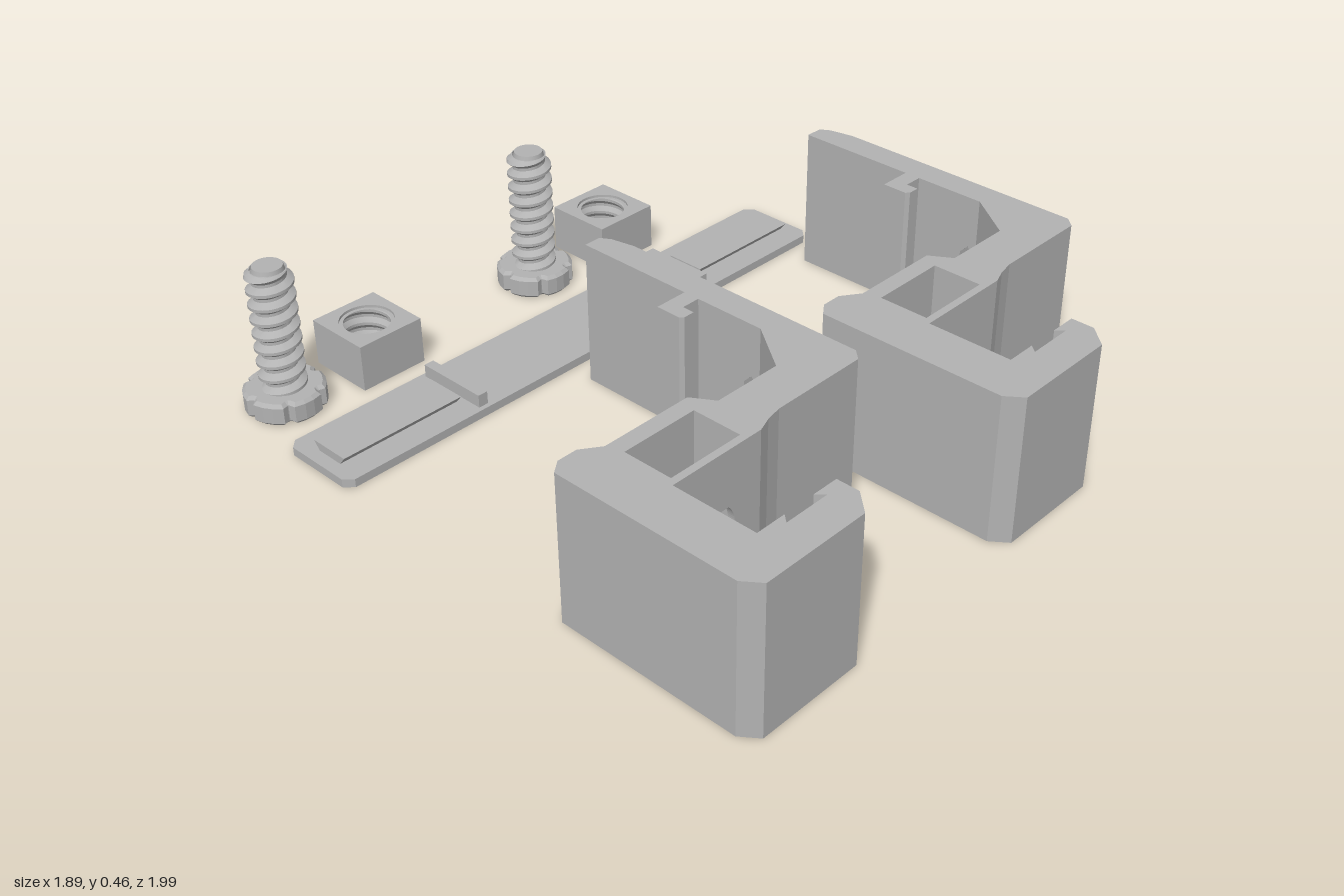
import * as THREE from 'three';
import { toCreasedNormals } from 'three/addons/utils/BufferGeometryUtils.js';

const grey = new THREE.MeshStandardMaterial({ color: 0xb2b2b2, side: THREE.DoubleSide });
grey.name = 'plain grey plastic';

const H = 0.447; // bracket height

function mesh(name, geometry, parent) {
  const m = new THREE.Mesh(geometry, grey);
  m.name = name;
  parent.add(m);
  return m;
}

const shapeOf = (pts) => new THREE.Shape(pts.map(([a, b]) => new THREE.Vector2(a, b)));

// Plan outline given as [x, z], raised from y0 to y1
function prism(pts, y0, y1) {
  const g = new THREE.ExtrudeGeometry(shapeOf(pts.map(([x, z]) => [x, -z])), { depth: y1 - y0, bevelEnabled: false });
  return g.rotateX(-Math.PI / 2).translate(0, y0, 0);
}

function block(x0, x1, y0, y1, z0, z1) {
  return new THREE.BoxGeometry(x1 - x0, y1 - y0, z1 - z0)
    .translate((x0 + x1) / 2, (y0 + y1) / 2, (z0 + z1) / 2);
}

// Wall facing z with a teardrop bolt hole
function teardropWall(x0, x1, z0, z1) {
  const s = shapeOf([[x0, 0], [x1, 0], [x1, H], [x0, H]]);
  const cx = (x0 + x1) / 2, cy = 0.225, r = 0.077;
  const hole = new THREE.Path();
  hole.moveTo(cx, cy + r * Math.SQRT2);
  hole.absarc(cx, cy, r, Math.PI * 0.75, Math.PI * 2.25, false);
  hole.closePath();
  s.holes.push(hole);
  return new THREE.ExtrudeGeometry(s, { depth: z1 - z0, bevelEnabled: false, curveSegments: 24 }).translate(0, 0, z0);
}

// Helical thread: ridge profile swept round the axis, cut flat at y0 and y1
function thread(root, crest, y0, y1, limit = () => 1) {
  const pitch = 0.046, n = 32, turns = Math.ceil((y1 - y0) / pitch) + 1;
  const ridge = [[0, root], [0.2, root], [0.5, crest], [0.7, crest]];
  const pos = [], idx = [];
  let rows = 0;
  for (let k = -1; k < turns; k++) {
    for (const [t, r] of ridge) {
      for (let i = 0; i <= n; i++) {
        const a = (i / n) * Math.PI * 2;
        const y = THREE.MathUtils.clamp(y0 + (k + t + i / n) * pitch, y0, y1);
        const rr = Math.min(r, limit(y));
        pos.push(rr * Math.cos(a), y, -rr * Math.sin(a));
      }
      rows++;
    }
  }
  for (let j = 0; j < rows - 1; j++) {
    for (let i = 0; i < n; i++) {
      const a = j * (n + 1) + i, b = a + 1, c = a + n + 1, d = c + 1;
      if (crest > root) idx.push(a, b, d, a, d, c);
      else idx.push(a, d, b, a, c, d);
    }
  }
  const g = new THREE.BufferGeometry();
  g.setAttribute('position', new THREE.Float32BufferAttribute(pos, 3));
  g.setIndex(idx);
  return toCreasedNormals(g, 0.5);
}

function makeBracket() {
  const g = new THREE.Group();
  g.name = 'clampBracket';
  // Jaw with dovetail groove
  mesh('jaw', prism([
    [-0.75, 0.39], [-0.765, 0.39], [-0.82, 0.352], [-0.88, 0.352], [-0.917, 0.38], [-0.917, 0.945],
    [-0.88, 0.995], [-0.55, 0.995], [-0.495, 0.935], [-0.495, 0.867], [-0.575, 0.867], [-0.555, 0.89],
    [-0.695, 0.89], [-0.675, 0.867], [-0.767, 0.867], [-0.767, 0.612], [-0.75, 0.612]], 0, H), g);
  // Nut pocket, open at the top
  mesh('pocketBackWall', teardropWall(-0.75, -0.515, 0.39, 0.44), g);
  mesh('pocketFrontWall', teardropWall(-0.75, -0.515, 0.59, 0.612), g);
  mesh('pocketFloor', block(-0.75, -0.515, 0, 0.108, 0.44, 0.59), g);
  // Crossbar bending into the long arm
  mesh('elbow', prism([
    [-0.515, 0.39], [-0.485, 0.39], [-0.445, 0.455], [-0.232, 0.455], [-0.127, 0.31], [-0.04, 0.31],
    [-0.04, 0.555], [-0.068, 0.585], [-0.37, 0.585], [-0.42, 0.595], [-0.465, 0.612], [-0.515, 0.612]], 0, H), g);
  // Arm section pierced by a small pointed slot
  const s = shapeOf([[-0.31, 0], [-0.25, 0], [-0.25, H], [-0.31, H]]);
  s.holes.push(shapeOf([[-0.306, 0.178], [-0.256, 0.178], [-0.256, 0.262], [-0.281, 0.287], [-0.306, 0.262]]));
  mesh('slottedArmSection', new THREE.ExtrudeGeometry(s, { depth: 0.087, bevelEnabled: false })
    .rotateY(Math.PI / 2).translate(-0.127, 0, 0), g);
  // Arm with cable hook and tapered tip
  mesh('armWithHook', prism([
    [-0.127, 0.25], [-0.04, 0.25], [-0.04, -0.235], [-0.055, -0.31], [-0.073, -0.34], [-0.127, -0.34],
    [-0.127, 0.04], [-0.23, 0.04], [-0.23, 0.118], [-0.22, 0.128], [-0.185, 0.128], [-0.185, 0.09],
    [-0.127, 0.09]], 0, H), g);
  return g;
}

function makeBolt() {
  const g = new THREE.Group();
  g.name = 'thumbBolt';
  // Knob with six lobes and chamfered rims
  const bevel = 0.01, pts = [];
  for (let k = 0; k < 6; k++) {
    for (const [deg, r] of [[-20, 0.118], [-7, 0.118], [7, 0.118], [20, 0.118], [25, 0.106], [30, 0.102], [35, 0.106]]) {
      const a = THREE.MathUtils.degToRad(30 + k * 60 + deg);
      pts.push([(r - bevel) * Math.cos(a), (r - bevel) * Math.sin(a)]);
    }
  }
  mesh('knob', new THREE.ExtrudeGeometry(shapeOf(pts), {
    depth: 0.05, bevelThickness: bevel, bevelSize: bevel, bevelSegments: 1,
  }).rotateX(-Math.PI / 2).translate(0, bevel, 0), g);
  // Threaded shank and its tapered tip
  mesh('boltThread', thread(0.05, 0.068, 0.06, 0.445, (y) => 0.043 + (0.455 - y)), g);
  mesh('boltTip', new THREE.CylinderGeometry(0.043, 0.05, 0.03, 32).translate(0, 0.44, 0), g);
  return g;
}

function makeNut() {
  const g = new THREE.Group();
  g.name = 'squareNut';
  const h = 0.11, s = shapeOf([[-h, -h], [h, -h], [h, h], [-h, h]]);
  s.holes.push(new THREE.Path().absarc(0, 0, 0.081, 0, Math.PI * 2, true));
  mesh('nutBody', new THREE.ExtrudeGeometry(s, { depth: 0.146, bevelEnabled: false, curveSegments: 32 })
    .rotateX(-Math.PI / 2), g);
  mesh('nutThread', thread(0.081, 0.07, 0.008, 0.138), g);
  return g;
}

function makeStrip() {
  const g = new THREE.Group();
  g.name = 'connectingStrip';
  const x = 0.943, z0 = -0.685, z1 = -0.42, c = 0.025;
  mesh('stripBase', prism([
    [-x, z0 + c], [-x + c, z0], [x - c, z0], [x, z0 + c], [x, z1 - c], [x - c, z1],
    [0.03, z1], [0.005, z1 - 0.022], [-0.005, z1 - 0.022], [-0.03, z1], [-x + c, z1], [-x, z1 - c]], 0, 0.026), g);
  for (const side of [-1, 1]) {
    // Dovetail rail, wider at the top
    const rail = shapeOf([[-0.045, 0.026], [0.045, 0.026], [0.066, 0.052], [-0.066, 0.052]]);
    mesh('dovetailRail', new THREE.ExtrudeGeometry(rail, { depth: 0.41, bevelEnabled: false })
      .rotateY(Math.PI / 2).translate(side * 0.697 - 0.205, 0, -0.55), g);
    mesh('stopRib', block(side * 0.453 - 0.016, side * 0.453 + 0.016, 0.02, 0.066, -0.67, -0.435), g);
  }
  return g;
}

export function createModel() {
  const model = new THREE.Group();
  model.name = 'clampKit';
  model.add(makeStrip());
  // Two identical sets side by side
  for (const dx of [0, 0.957]) {
    const bracket = makeBracket(), bolt = makeBolt(), nut = makeNut();
    bracket.position.x = dx;
    bolt.position.set(-0.805 + dx, 0, -0.882);
    nut.position.set(-0.502 + dx, 0, -0.882);
    model.add(bracket, bolt, nut);
  }
  return model;
}
